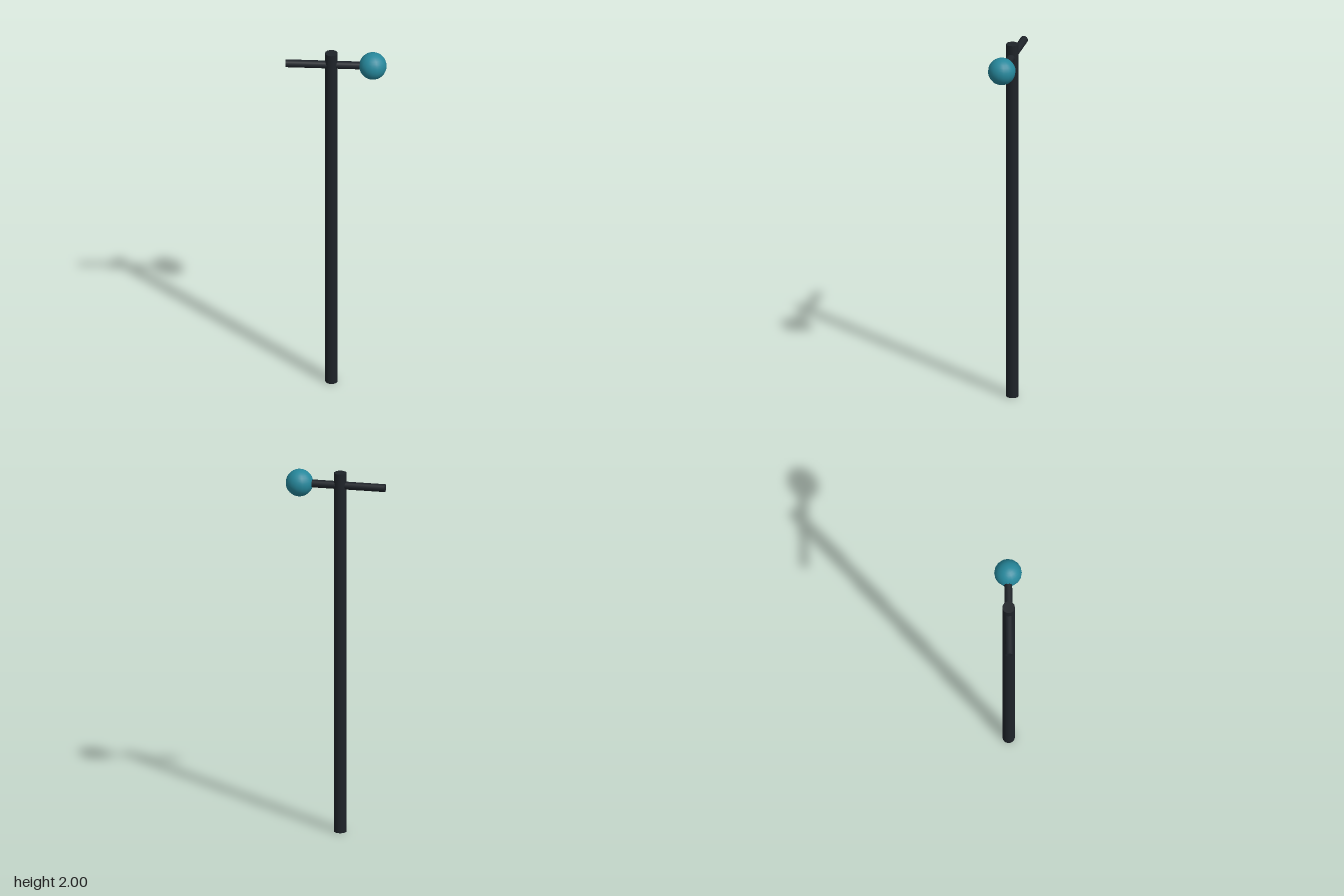
import * as THREE from 'three';

export function createModel() {
  const group = new THREE.Group();
  const dark = new THREE.MeshStandardMaterial({ color: 0x1e2329 });
  const teal = new THREE.MeshStandardMaterial({ color: 0x26879b });
  const poleX = -0.025, barY = 1.93;

  const add = (name, geometry, material, x, y) => {
    const mesh = new THREE.Mesh(geometry, material);
    mesh.name = name;
    mesh.position.set(x, y, 0);
    group.add(mesh);
    return mesh;
  };

  // Upright pole
  add('pole', new THREE.CylinderGeometry(0.033, 0.033, 2, 16), dark, poleX, 1);

  // Crossbar through the pole, its left end buried in the ball
  const bar = add('crossbar', new THREE.CylinderGeometry(0.021, 0.021, 0.484, 16), dark, poleX, barY);
  bar.rotation.z = Math.PI / 2;

  // Ball on the left end of the crossbar
  add('ball', new THREE.SphereGeometry(0.073, 16, 16), teal, 0.194, barY);

  return group;
}
